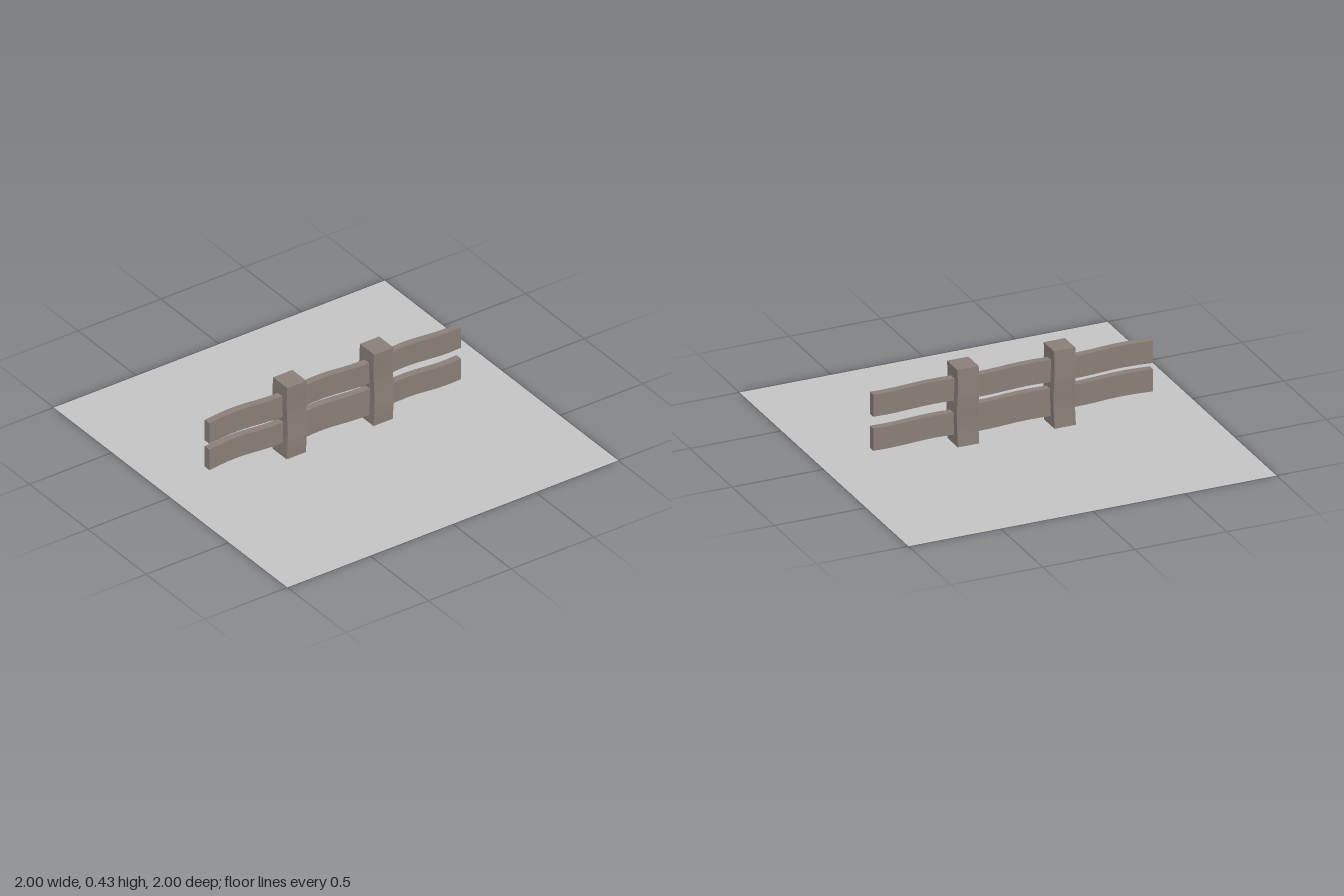
import * as THREE from 'three';

// Box whose vertices are shifted by a rule, giving a hand-hewn, faceted look
function warpedBox(w, h, d, segX, segY, rule) {
  const geo = new THREE.BoxGeometry(w, h, d, segX, segY, 1);
  const pos = geo.attributes.position;
  const v = new THREE.Vector3();
  for (let i = 0; i < pos.count; i++) {
    v.fromBufferAttribute(pos, i);
    rule(v);
    pos.setXYZ(i, v.x, v.y, v.z);
  }
  geo.computeVertexNormals();
  return geo;
}

export function createModel() {
  const group = new THREE.Group();
  const wood = new THREE.MeshStandardMaterial({ color: 0x8a7f78, flatShading: true });
  wood.name = 'weatheredWood';
  const stone = new THREE.MeshStandardMaterial({ color: 0xc3c3c3, side: THREE.DoubleSide });
  stone.name = 'paleGrey';

  const add = (name, geo, material, x, y, z) => {
    const mesh = new THREE.Mesh(geo, material);
    mesh.name = name;
    mesh.position.set(x, y, z);
    group.add(mesh);
  };

  // Ground sheet
  add('ground', new THREE.PlaneGeometry(2, 2).rotateX(-Math.PI / 2), stone, 0, 0, 0);

  // Two thick posts, slightly wavy along their height
  for (const [name, x] of [['rightPost', -0.28], ['leftPost', 0.245]]) {
    add(name, warpedBox(0.116, 0.42, 0.122, 1, 8, (v) => {
      const t = v.y / 0.42 + 0.5;
      v.x += 0.003 * Math.cos(t * Math.PI * 2.4 + Math.PI);
      v.z += 0.003 * Math.sin(t * Math.PI * 2.4);
    }), wood, x, 0.22, 0);
  }

  // Rails bow gently up and down; the lower pair overlaps between the posts
  const rails = [
    ['upperRail', -0.78, 0.74, 0.307],
    ['lowerRailRight', -0.78, 0.24, 0.152],
    ['lowerRailLeft', -0.28, 0.74, 0.122],
  ];
  for (const [name, x0, x1, y] of rails) {
    const cx = (x0 + x1) / 2;
    add(name, warpedBox(x1 - x0, 0.12, 0.04, Math.round((x1 - x0) * 16), 1, (v) => {
      const phase = (v.x + cx + 0.62) * Math.PI * 2 / 0.515;
      v.y += 0.006 * Math.cos(phase);
      v.z -= 0.003 * Math.cos(phase);
    }), wood, cx, y, 0);
  }
  return group;
}
